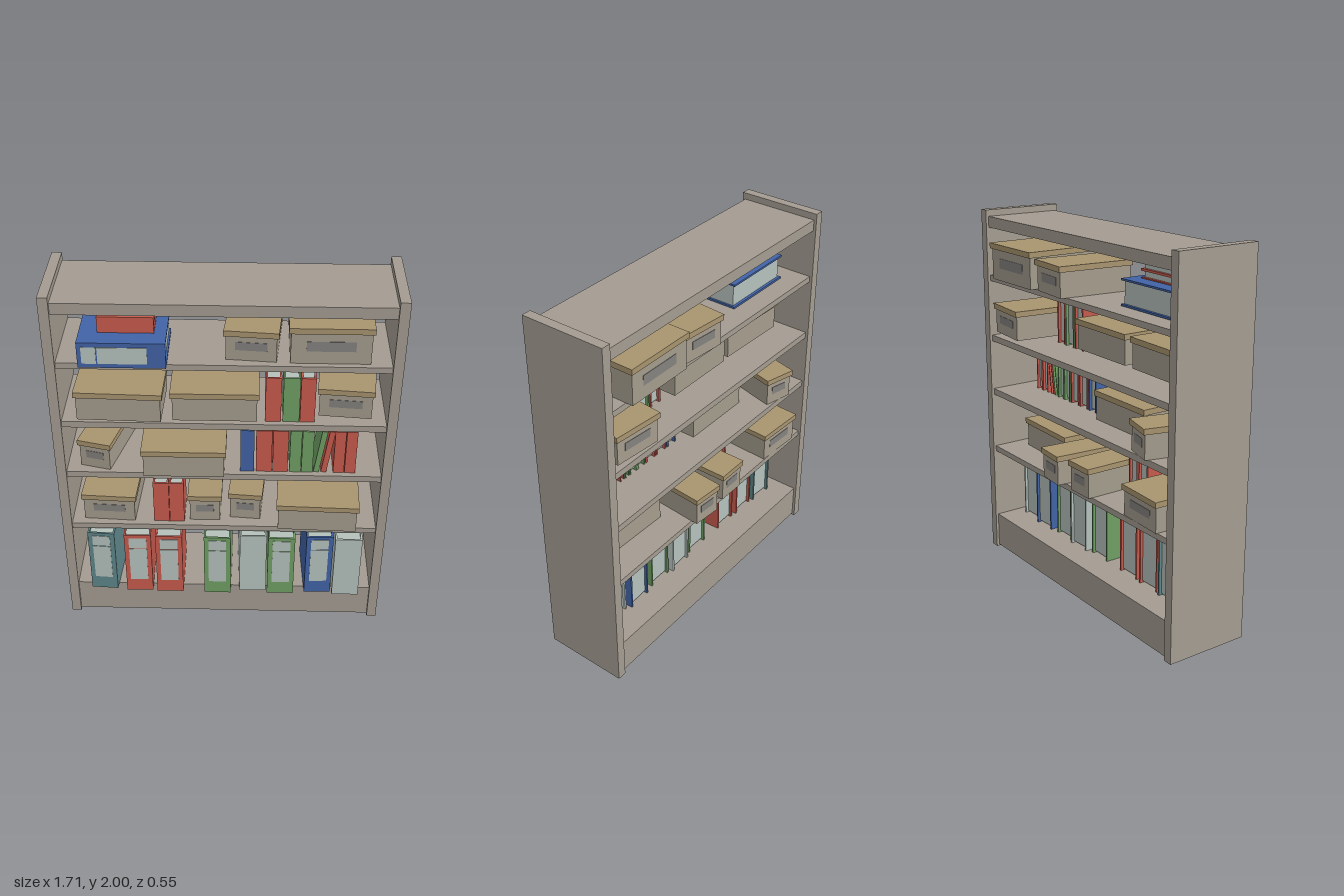
import * as THREE from 'three';

export function createModel() {
  const mat = (name, color) => new THREE.MeshStandardMaterial({ name, color });
  const wood = mat('wood', 0xa49c91);
  const card = mat('boxCardboard', 0xa49c8d);
  const lidTan = mat('lidTan', 0xa8946f);
  const grey = mat('labelGrey', 0x85827f);
  const paper = mat('paper', 0xb5c1bc);
  const red = mat('red', 0xc65a4d);
  const green = mat('green', 0x6f9f64);
  const blue = mat('blue', 0x4163a6);
  const teal = mat('teal', 0x5f878b);

  const root = new THREE.Group();
  root.name = 'bookcase';

  const addBox = (parent, name, m, w, h, d, x, y, z) => {
    const mesh = new THREE.Mesh(new THREE.BoxGeometry(w, h, d), m);
    mesh.name = name;
    mesh.position.set(x, y, z);
    parent.add(mesh);
    return mesh;
  };
  const addGroup = (name, x, y, z, yaw = 0) => {
    const g = new THREE.Group();
    g.name = name;
    g.position.set(x, y, z);
    g.rotation.y = yaw;
    root.add(g);
    return g;
  };

  // Frame: side panels, plinth, shelves and top board
  for (const s of [-1, 1]) addBox(root, 'sidePanel', wood, 0.05, 2, 0.46, s * 0.83, 1, 0);
  addBox(root, 'plinth', wood, 1.61, 0.195, 0.43, 0, 0.1075, 0);
  for (const [lo, hi] of [[0.605, 0.637], [0.95, 0.985], [1.265, 1.3], [1.61, 1.642]])
    addBox(root, 'shelf', wood, 1.61, hi - lo, 0.43, 0, (lo + hi) / 2, 0);
  addBox(root, 'topBoard', wood, 1.61, 0.06, 0.43, 0, 1.935, 0);

  // Storage box with an overhanging lid; labels on both short ends
  const storageBox = (x, y, z, w, h, d, yaw, label) => {
    const g = addGroup('storageBox', x, y, z, yaw);
    addBox(g, 'boxBody', card, w - 0.02, h - 0.01, d - 0.02, 0, (h - 0.01) / 2, 0);
    addBox(g, 'boxLid', lidTan, w, 0.03, d, 0, h - 0.015, 0);
    if (!label) return;
    const lh = h * 0.27, lw = w * (w < 0.25 ? 0.52 : 0.58);
    addBox(g, 'boxLabel', grey, lw, lh, d - 0.016, 0, h * 0.48, 0);
  };
  const boxes = [
    // top shelf
    [0.148, 1.642, -0.035, 0.265, 0.163, 0.43, -0.085, true],
    [0.51, 1.642, -0.035, 0.405, 0.196, 0.46, 0, true],
    // fourth shelf
    [-0.51, 1.328, 0.09, 0.435, 0.162, 0.32, -0.03, false],
    [-0.043, 1.333, 0.085, 0.435, 0.162, 0.32, 0, false],
    [0.617, 1.328, -0.02, 0.28, 0.162, 0.42, -0.09, true],
    // third shelf
    [-0.61, 0.985, -0.02, 0.18, 0.16, 0.42, -0.25, true],
    [-0.202, 0.985, 0.09, 0.43, 0.16, 0.32, 0, false],
    // second shelf
    [-0.596, 0.639, -0.02, 0.29, 0.164, 0.42, -0.05, true],
    [-0.1, 0.639, -0.035, 0.18, 0.164, 0.43, 0, true],
    [0.129, 0.639, -0.055, 0.18, 0.164, 0.43, -0.08, true],
    [0.496, 0.639, 0.09, 0.43, 0.164, 0.32, -0.03, false],
  ];
  for (const b of boxes) storageBox(...b);

  // Bound volume: spine at the front, two covers and an inset page block
  const volume = (parent, m, w, h, d, label) => {
    const t = Math.min(0.01, w * 0.14);
    addBox(parent, 'spine', m, w, h, t, 0, h / 2, (d - t) / 2);
    for (const s of [-1, 1])
      addBox(parent, 'cover', m, t, h, d - t, s * (w - t) / 2, h / 2, -t / 2);
    addBox(parent, 'pages', paper, w - 2 * t, h - 0.02, d - t - 0.015, 0, h / 2, -t / 2 + 0.0075);
    if (!label) return;
    // Spine label in two fields with a narrow gap
    addBox(parent, 'spineLabel', paper, w * 0.66, h * 0.56, 0.004, 0, h * 0.49, d / 2 + 0.001);
    addBox(parent, 'spineLabelTop', paper, w * 0.66, h * 0.165, 0.004, 0, h * 0.868, d / 2 + 0.001);
  };

  // Tall binders on the plinth: x, front z, yaw, colour
  for (const [x, front, yaw, m] of [
    [-0.642, 0.255, -0.06, teal], [-0.462, 0.268, 0.03, red], [-0.292, 0.272, 0.01, red],
    [-0.03, 0.275, -0.01, green], [0.153, 0.255, 0.04, paper], [0.31, 0.27, 0, green],
    [0.507, 0.255, 0.04, blue], [0.665, 0.272, 0, paper],
  ]) {
    const d = 0.34;
    const g = addGroup('binder', x, 0.206, front - d / 2, yaw);
    volume(g, m, 0.143, 0.396, d, m !== paper);
  }

  // Small books: left edge, width, shelf height, colour, lean
  for (const [x, w, y, m, lean = 0] of [
    [0.205, 0.078, 1.3, red], [0.292, 0.082, 1.3, green], [0.377, 0.073, 1.3, red],
    [0.085, 0.07, 0.985, blue], [0.165, 0.08, 0.985, red], [0.25, 0.077, 0.985, red],
    [0.336, 0.058, 0.985, green], [0.397, 0.058, 0.985, green],
    [0.459, 0.028, 0.988, green, -0.14], [0.497, 0.028, 0.988, red, -0.14],
    [0.56, 0.055, 0.985, red], [0.618, 0.055, 0.985, red],
    [-0.37, 0.082, 0.638, red], [-0.286, 0.077, 0.638, red],
  ]) {
    const g = addGroup('book', x + w / 2, y, 0.09);
    g.rotation.z = lean;
    volume(g, m, w, 0.255, 0.19, false);
  }

  // Binder lying flat with two books stacked on it
  for (const [name, m, x, y, z, w, h, d, label] of [
    ['flatBinder', blue, -0.27, 1.712, 0.075, 0.135, 0.42, 0.36, true],
    ['flatBook', red, -0.33, 1.802, 0.065, 0.042, 0.27, 0.19, false],
    ['flatBook', red, -0.33, 1.844, 0.065, 0.042, 0.27, 0.19, false],
  ]) {
    const g = addGroup(name, x, y, z);
    g.rotation.z = Math.PI / 2;
    // Flip so the narrow label field lies toward the left end
    volume(g, m, w, h, d, label);
  }
  return root;
}
